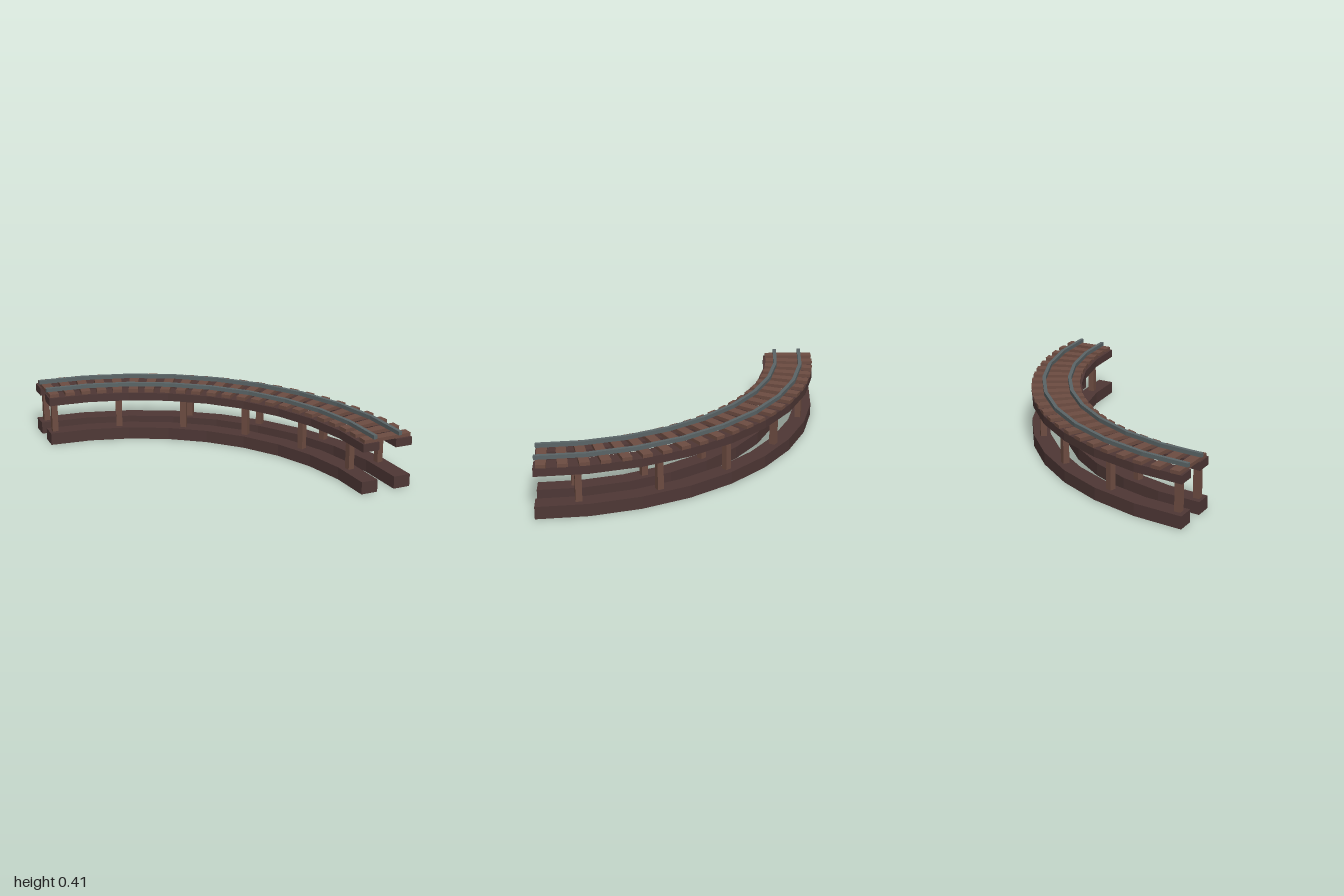
import * as THREE from 'three';

const RAD = Math.PI / 180;
const SEGMENTS = 9;

const mat = (color) => new THREE.MeshStandardMaterial({ color, flatShading: true });

// Quarter-ring bar with straight facets, curving around the corner (-1, 1)
function arcBar(name, r0, r1, y, height, material) {
  const points = [];
  const at = (r, i) => {
    const a = (i / SEGMENTS) * 90 * RAD;
    return new THREE.Vector2(r * Math.sin(a) - 1, r * Math.cos(a) - 1);
  };
  for (let i = 0; i <= SEGMENTS; i++) points.push(at(r1, i));
  for (let i = SEGMENTS; i >= 0; i--) points.push(at(r0, i));
  const geo = new THREE.ExtrudeGeometry(new THREE.Shape(points), { depth: height, bevelEnabled: false });
  geo.rotateX(-Math.PI / 2);
  const mesh = new THREE.Mesh(geo, material);
  mesh.name = name;
  mesh.position.y = y;
  return mesh;
}

// Box set on the curve at a radius and angle, its z axis pointing along the radius
function radialBox(name, geo, r, degrees, y, material) {
  const a = degrees * RAD;
  const mesh = new THREE.Mesh(geo, material);
  mesh.name = name;
  mesh.position.set(r * Math.sin(a) - 1, y, 1 - r * Math.cos(a));
  mesh.rotation.y = -a;
  return mesh;
}

export function createModel() {
  const model = new THREE.Group();
  model.name = 'curvedTrackTrestle';

  const darkWood = mat(0x4e3735);
  const wood = mat(0x6d4c41);
  const steel = mat(0x5a6466);

  // Ground beams, upper beams and posts, inner and outer
  const postGeo = new THREE.BoxGeometry(0.043, 0.215, 0.043);
  for (const [side, r0, r1, postR] of [['inner', 1.637, 1.755, 1.692], ['outer', 1.88, 2, 1.934]]) {
    model.add(arcBar(side + 'GroundBeam', r0, r1, 0, 0.087, darkWood));
    model.add(arcBar(side + 'UpperBeam', r0, r1, 0.297, 0.057, darkWood));
    for (let i = 0; i < 6; i++) {
      model.add(radialBox(side + 'Post', postGeo, postR, 1.5 + i * 16.05, 0.192, wood));
    }
  }

  // Sleepers
  const sleeperGeo = new THREE.BoxGeometry(0.067, 0.024, 0.35);
  for (let i = 0; i < 23; i++) {
    model.add(radialBox('sleeper', sleeperGeo, 1.823, 1.45 + (i * 87.1) / 22, 0.366, wood));
  }

  // Rails
  model.add(arcBar('innerRail', 1.712, 1.737, 0.378, 0.027, steel));
  model.add(arcBar('outerRail', 1.897, 1.922, 0.378, 0.027, steel));

  return model;
}
